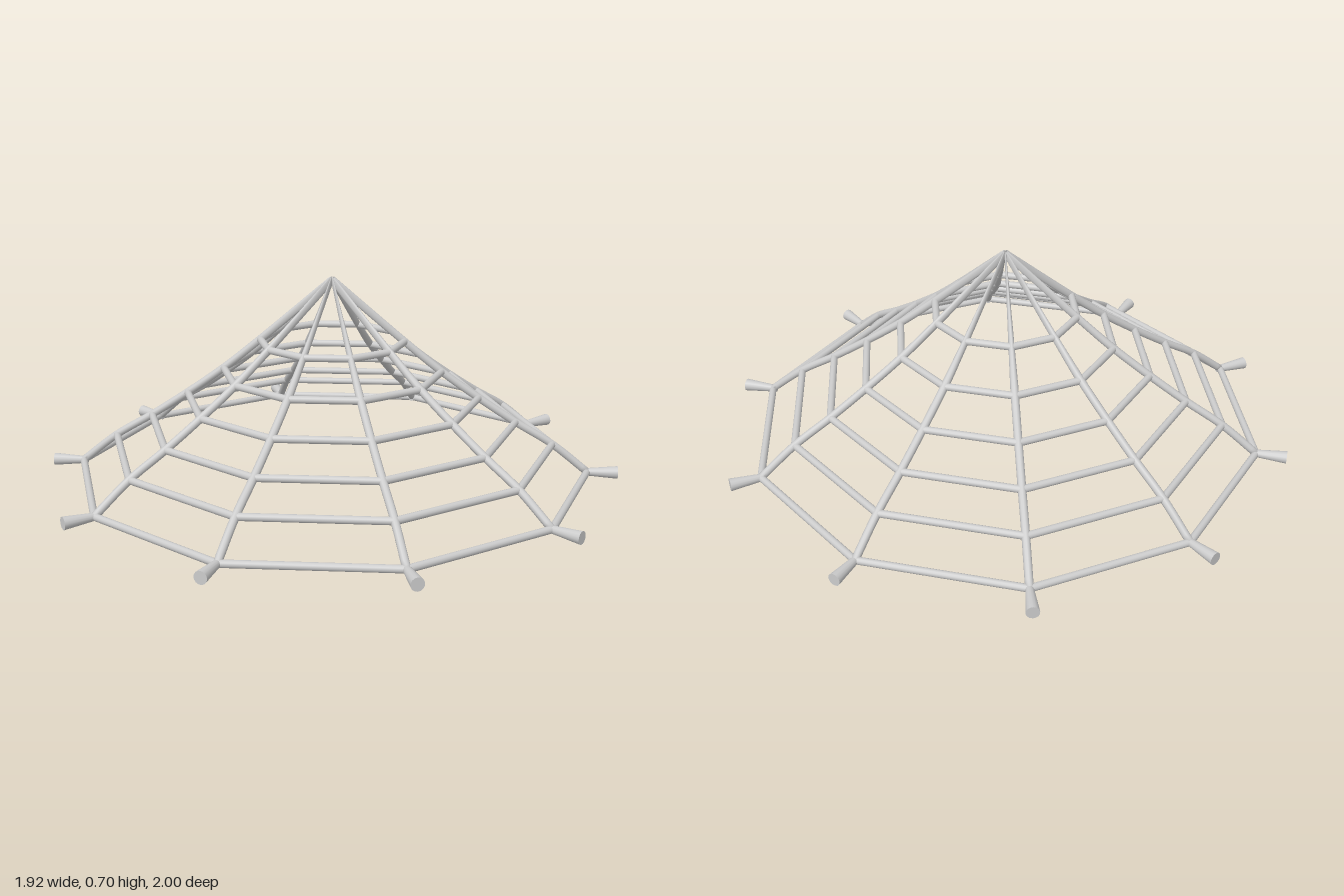
import * as THREE from 'three';

const SPOKES = 10;
const STEP = (Math.PI * 2) / SPOKES;
// [radius, height] of each ring, from the top down
const RINGS = [[0.25, 0.482], [0.38, 0.377], [0.51, 0.285], [0.64, 0.2], [0.77, 0.122], [0.895, 0.023]];
const APEX = [0, 0.695];

const polar = (r, y, i) => new THREE.Vector3(Math.sin(i * STEP) * r, y, Math.cos(i * STEP) * r);

// straight rod between two points
function rod(a, b, ra, rb, mat, name) {
  const dir = b.clone().sub(a);
  const mesh = new THREE.Mesh(new THREE.CylinderGeometry(rb, ra, dir.length(), 14), mat);
  mesh.position.copy(a).add(b).multiplyScalar(0.5);
  mesh.quaternion.setFromUnitVectors(new THREE.Vector3(0, 1, 0), dir.normalize());
  mesh.name = name;
  return mesh;
}

// spoke along +z: round at the rim, narrowing sideways to a blade at the apex
function spokeGeometry() {
  const path = new THREE.CatmullRomCurve3([APEX, ...RINGS].map(([r, y]) => new THREE.Vector3(0, y, r)));
  const along = 36, sides = 12, thick = 0.0135;
  const pos = [], idx = [];
  for (let i = 0; i <= along; i++) {
    const p = path.getPoint(i / along), t = path.getTangent(i / along);
    const wide = 0.0135 * Math.min(1, 0.2 + p.z / 0.45);
    for (let j = 0; j < sides; j++) {
      const a = (j / sides) * Math.PI * 2;
      const c = Math.cos(a) * wide, s = Math.sin(a) * thick;
      pos.push(c, p.y + s * t.z, p.z - s * t.y);
      if (i === along) continue;
      const k = i * sides + j, l = i * sides + ((j + 1) % sides);
      idx.push(k, k + sides, l, l, k + sides, l + sides);
    }
  }
  // end caps
  for (let j = 1; j < sides - 1; j++) {
    const e = along * sides;
    idx.push(0, j, j + 1, e, e + j + 1, e + j);
  }
  const g = new THREE.BufferGeometry();
  g.setAttribute('position', new THREE.Float32BufferAttribute(pos, 3));
  g.setIndex(idx);
  g.computeVertexNormals();
  return g;
}

export function createModel() {
  const model = new THREE.Group();
  model.name = 'webCanopy';
  const mat = new THREE.MeshStandardMaterial({ color: 0xcccccc, side: THREE.DoubleSide });

  // spokes and their flared end pegs
  const spokeGeo = spokeGeometry();
  for (let i = 0; i < SPOKES; i++) {
    const spoke = new THREE.Mesh(spokeGeo, mat);
    spoke.rotation.y = i * STEP;
    spoke.name = 'spoke';
    model.add(spoke);
    model.add(rod(polar(0.88, 0.023, i), polar(1, 0.023, i), 0.012, 0.022, mat, 'endPeg'));
  }

  // rings of straight rods between neighbouring spokes
  RINGS.forEach(([r, y], n) => {
    const ring = new THREE.Group();
    ring.name = 'ring' + (n + 1);
    for (let i = 0; i < SPOKES; i++) {
      ring.add(rod(polar(r, y, i), polar(r, y, i + 1), 0.0125, 0.0125, mat, 'ringRod'));
    }
    model.add(ring);
  });

  return model;
}
